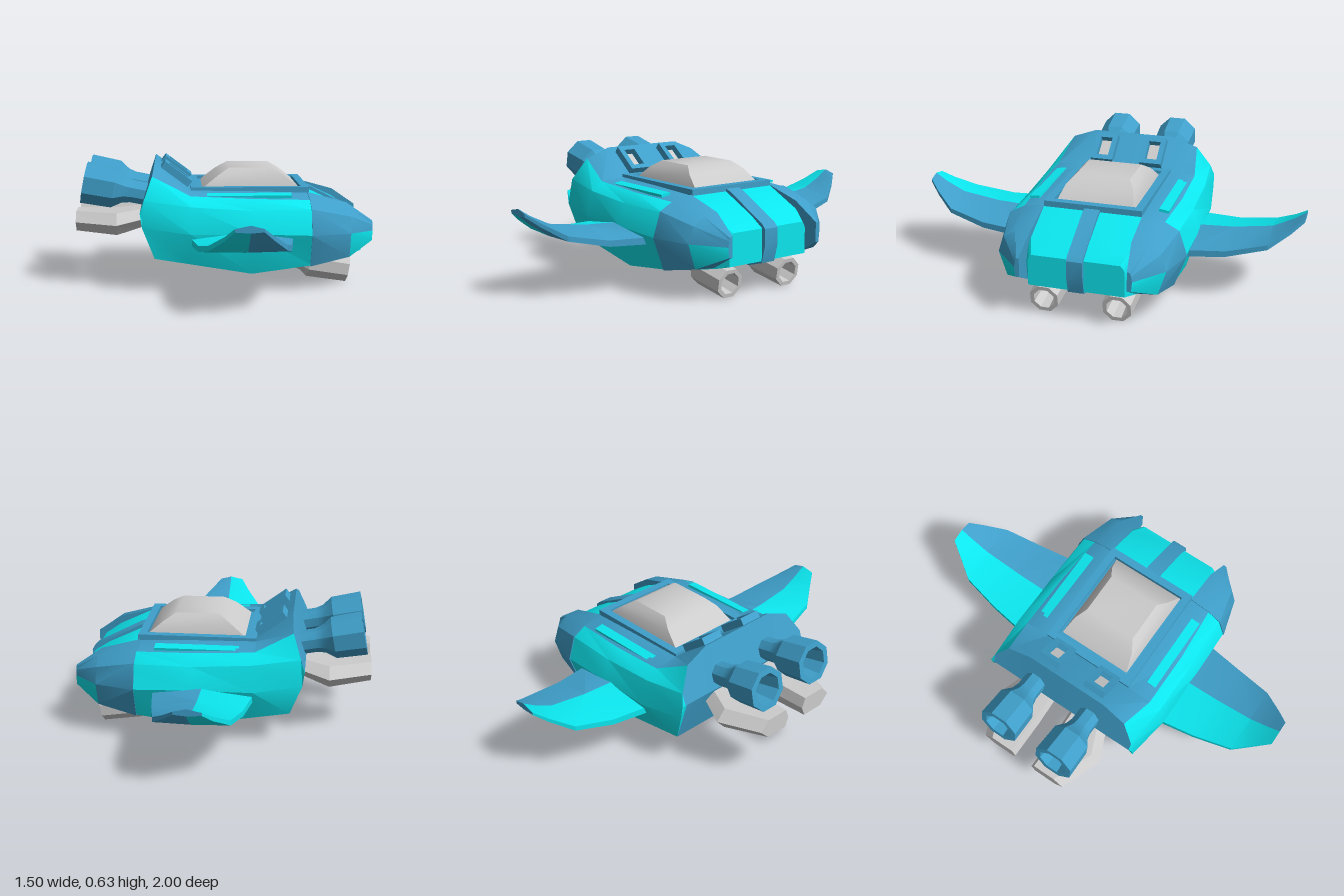
import * as THREE from 'three';
import { toCreasedNormals } from 'three/addons/utils/BufferGeometryUtils.js';

const BLUE = 0, CYAN = 1, GREY = 2;
const materials = [0x3f9fca, 0x0ce6ee, 0xcccccc].map(
  (color) => new THREE.MeshStandardMaterial({ color, side: THREE.DoubleSide }));

// Skins a list of equal rings; colour(i, j) picks the paint of each quad.
function loft(name, rings, colour, { flip = false, capStart = true, capEnd = true, crease = 0.6 } = {}) {
  const tris = [[], [], []];
  const tri = (c, a, b, d) => {
    for (const p of flip ? [a, d, b] : [a, b, d]) tris[c].push(p[0], p[1], flip ? -p[2] : p[2]);
  };
  const n = rings[0].length;
  for (let i = 0; i < rings.length - 1; i++) {
    for (let j = 0; j < n; j++) {
      const k = (j + 1) % n, c = colour(i, j);
      tri(c, rings[i][j], rings[i][k], rings[i + 1][k]);
      tri(c, rings[i][j], rings[i + 1][k], rings[i + 1][j]);
    }
  }
  const cap = (ring, c, reverse) => {
    const mid = [0, 1, 2].map((a) => ring.reduce((sum, p) => sum + p[a], 0) / n);
    ring.forEach((p, j) => {
      const q = ring[(j + 1) % n];
      reverse ? tri(c, mid, q, p) : tri(c, mid, p, q);
    });
  };
  if (capStart) cap(rings[0], colour(0, 0), true);
  if (capEnd) cap(rings[rings.length - 1], colour(rings.length - 2, 0), false);

  const geometry = new THREE.BufferGeometry();
  geometry.setAttribute('position', new THREE.Float32BufferAttribute(tris.flat(), 3));
  let start = 0;
  tris.forEach((t, c) => {
    if (t.length) geometry.addGroup(start, t.length / 3, c);
    start += t.length / 3;
  });
  const mesh = new THREE.Mesh(toCreasedNormals(geometry, crease), materials);
  mesh.name = name;
  return mesh;
}

function solid(name, geometry, colour) {
  const mesh = new THREE.Mesh(toCreasedNormals(geometry, 0.5), materials[colour]);
  mesh.name = name;
  return mesh;
}

// Eight-sided turned part running from one point to another in the x-y plane.
function turned(name, profile, from, to, z, colour) {
  const points = profile.map(([r, h]) => new THREE.Vector2(r, h));
  const mesh = solid(name, new THREE.LatheGeometry(points, 8, Math.PI / 8), colour);
  mesh.position.set(from[0], from[1], z);
  mesh.rotation.z = Math.atan2(to[1] - from[1], to[0] - from[0]) - Math.PI / 2;
  return mesh;
}

// Flat rectangular frame lying in x-z.
function frame(name, w, d, wall, h) {
  const rect = (path, a, b) => path.moveTo(-a, -b).lineTo(a, -b).lineTo(a, b).lineTo(-a, b).closePath();
  const shape = rect(new THREE.Shape(), w / 2, d / 2);
  shape.holes.push(rect(new THREE.Path(), w / 2 - wall, d / 2 - wall));
  const geometry = new THREE.ExtrudeGeometry(shape, { depth: h, bevelEnabled: false });
  return solid(name, geometry.rotateX(-Math.PI / 2), BLUE);
}

function hull() {
  // x, deckY, shoulderY/Z, upperY/Z, middleY/Z, bottomY/Z
  const sections = [
    [-0.35, 0.62, 0.57, 0.35, 0.46, 0.42, 0.33, 0.44, 0.17, 0.41],
    [-0.17, 0.485, 0.475, 0.38, 0.43, 0.44, 0.30, 0.475, 0.14, 0.41],
    [0.13, 0.48, 0.46, 0.38, 0.41, 0.44, 0.30, 0.475, 0.09, 0.41],
    [0.43, 0.47, 0.45, 0.36, 0.41, 0.43, 0.29, 0.47, 0.13, 0.41],
    [0.62, 0.38, 0.37, 0.26, 0.34, 0.27, 0.28, 0.28, 0.15, 0.27],
    [0.70, 0.33, 0.32, 0.23, 0.30, 0.24, 0.27, 0.24, 0.17, 0.24],
  ];
  const rings = sections.map(([x, dy, sy, sz, uy, uz, my, mz, by, bz], i) => {
    const r = i === 0 ? 1 : 0; // the rear rim bulges backwards
    const half = [
      [x, dy, 0], [x, dy, Math.min(r ? 0.22 : 0.25, sz - 0.01)], [x - 0.01 * r, sy, sz],
      [x - 0.05 * r, uy, uz], [x - 0.06 * r, my, mz], [x, by, bz],
      [x, by, Math.min(0.26, bz - 0.01)], [x, by, 0.05], [x, by, 0],
    ];
    return [...half, ...half.slice(1, -1).reverse().map(([a, b, c]) => [a, b, -c])];
  });
  // Rear wall folds along a level line.
  rings.unshift(rings[0].map(([, , z]) => [-0.42, 0.4, z]));
  const bands = [BLUE, BLUE, CYAN, CYAN, CYAN, BLUE, CYAN, BLUE];
  return loft('hull', rings, (i, j) => {
    const band = j < 8 ? j : 15 - j;
    if (i === 0) return band > 2 && band < 5 ? CYAN : BLUE;
    if (i > 3 && band < 2) return CYAN;
    return bands[band];
  }, { capStart: false });
}

export function createModel() {
  const model = new THREE.Group();
  model.name = 'flyer';
  model.add(hull());

  // Nose spine
  const outline = [[0.42, 0.2], [0.6, 0.13], [0.7, 0.16], [0.72, 0.24], [0.72, 0.33], [0.7, 0.35], [0.46, 0.475], [0.42, 0.485]];
  const spine = new THREE.ExtrudeGeometry(new THREE.Shape(outline.map(([x, y]) => new THREE.Vector2(x, y))),
    { depth: 0.08, bevelEnabled: false });
  model.add(solid('noseSpine', spine.translate(0, 0, -0.04), BLUE));

  // Cockpit rim and canopy
  const rim = frame('cockpitRim', 0.6, 0.5, 0.04, 0.03);
  rim.position.set(0.13, 0.47, 0);
  model.add(rim);
  const canopy = [[0.46, -0.13, 0.4, 0.205], [0.495, -0.1, 0.38, 0.195], [0.55, -0.03, 0.31, 0.175], [0.587, 0.03, 0.25, 0.14]]
    .map(([y, a, b, z]) => [[b, y, -z], [a, y, -z], [a, y, z], [b, y, z]]);
  model.add(loft('canopy', canopy, () => GREY, { crease: 0.8 }));

  for (const s of [1, -1]) {
    const side = new THREE.Group();
    side.name = s > 0 ? 'leftSide' : 'rightSide';
    model.add(side);
    const flip = s < 0;

    // Wing: rear x, front x, z, edge bottom, edge top, ridge y
    const wing = [[-0.17, 0.33, 0.44, 0.24, 0.275, 0.31], [-0.14, 0.3, 0.64, 0.25, 0.28, 0.32],
      [-0.1, 0.26, 0.84, 0.295, 0.32, 0.35], [-0.03, 0.19, 0.94, 0.36, 0.38, 0.40], [0.01, 0.14, 1, 0.41, 0.425, 0.44]]
      .map(([a, b, z, lo, hi, top]) =>
        [[b, lo, z], [b, hi, z], [0.08, top, z], [a, hi, z], [a, lo, z], [0.08, lo - 0.005, z]]);
    side.add(loft('wing', wing, (i, j) => (j > 1 && j < 5 ? CYAN : BLUE), { flip, crease: 0.35 }));

    // Prong beside the nose
    const prong = [
      [0.42, [0.25, 0.475, 0.36, 0.455, 0.435, 0.415, 0.475, 0.29, 0.415, 0.125, 0.25, 0.125]],
      [0.62, [0.25, 0.42, 0.33, 0.41, 0.39, 0.37, 0.42, 0.29, 0.38, 0.165, 0.27, 0.155]],
      [0.75, [0.265, 0.33, 0.28, 0.325, 0.285, 0.31, 0.29, 0.28, 0.285, 0.23, 0.265, 0.23]],
    ].map(([x, zy]) => [0, 2, 4, 6, 8, 10].map((k) => [x, zy[k + 1], zy[k]]));
    side.add(loft('nosePronge'.slice(0, 9), prong, (i, j) => (i === 1 && j === 3 ? CYAN : BLUE), { flip }));

    // Lower rear pod: x, top, bottom, outer z
    const pod = [[-0.75, 0.375, 0.275, 0.24], [-0.54, 0.375, 0.265, 0.325], [-0.36, 0.395, 0.31, 0.25]]
      .map(([x, t, b, zo]) => {
        const m = (t + b) / 2;
        return [[x, t, 0.07], [x, t, zo - 0.05], [x, m, zo], [x, b, zo - 0.05], [x, b, 0.07], [x, m, 0.05]];
      });
    side.add(loft('lowerPod', pod, () => GREY, { flip, crease: 0.3 }));

    // Upper thruster with an open nozzle
    side.add(turned('thruster', [[0, 0], [0.06, 0], [0.06, 0.09], [0.07, 0.13], [0.105, 0.18], [0.11, 0.335],
      [0.08, 0.335], [0.06, 0.22], [0, 0.22]], [-0.38, 0.455], [-0.71, 0.52], s * 0.165, BLUE));

    // Hollow barrel under the nose
    side.add(turned('barrel', [[0, 0], [0.035, 0.02], [0.05, 0.12], [0.08, 0.16], [0.076, 0.365],
      [0.055, 0.365], [0.05, 0.22], [0, 0.22]], [0.28, 0.13], [0.64, 0.07], s * 0.185, GREY));

    // Intake on the sloping rear deck
    const intake = new THREE.Group();
    intake.name = 'intake';
    const plate = solid('intakePlate', new THREE.BoxGeometry(0.12, 0.02, 0.07), GREY);
    intake.add(frame('intakeFrame', 0.17, 0.12, 0.028, 0.045), plate);
    intake.position.set(-0.255, 0.54, s * 0.135);
    intake.rotation.z = -0.64;
    side.add(intake);

    // Painted deck panel
    const panel = solid('deckPanel', new THREE.BoxGeometry(0.42, 0.014, 0.05), CYAN);
    panel.position.set(0.12, 0.47, s * 0.335);
    panel.rotation.x = s * 0.15;
    side.add(panel);
  }
  return model;
}
